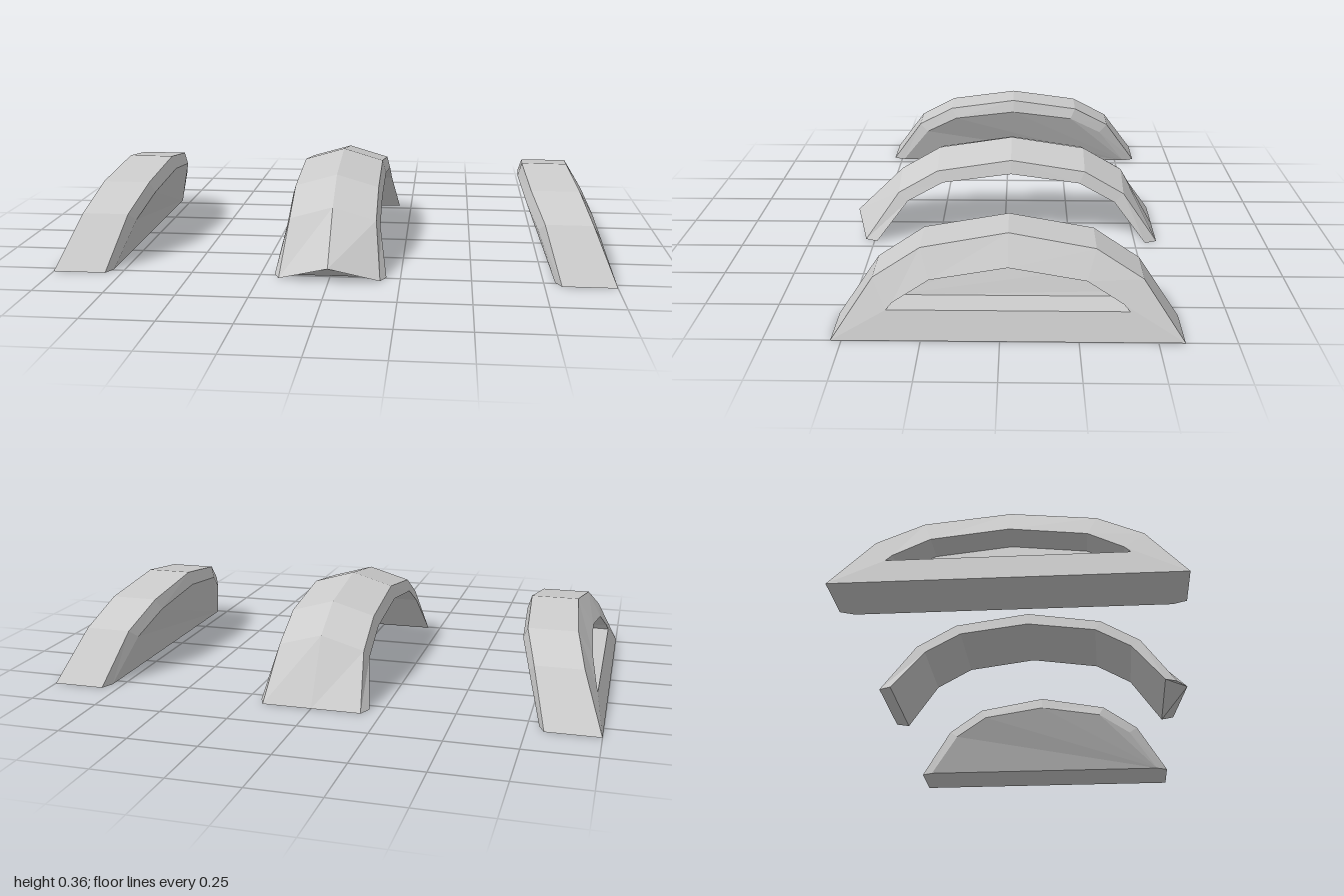
import * as THREE from 'three';

const MID_Z = -0.025;
const material = new THREE.MeshStandardMaterial({ color: 0xcccccc, flatShading: true });

// Half profiles of the arch, front foot to crown: [distance from middle, height]
const OUTER = [[0.56, 0], [0.43, 0.185], [0.28, 0.272], [0, 0.315]];
const INNER = [[0.515, 0], [0.395, 0.155], [0.26, 0.23], [0, 0.265]];
const SLOT = [[0.385, 0.093], [0.365, 0.115], [0.25, 0.183], [0, 0.22]];
const FLOOR = [[0.372, 0.098], [0.357, 0.113], [0.246, 0.178], [0, 0.214]];

// Full arch of 7 points, front to back, with an x value for each height step
function arch(half, xs) {
  const front = half.map(([d, y], i) => new THREE.Vector3(xs[i], y, MID_Z + d));
  const back = half.slice(0, 3).reverse().map(([d, y], i) => new THREE.Vector3(xs[2 - i], y, MID_Z - d));
  return [...front, ...back];
}

// Flat-shaded solid through closed rings of equal size, capped at both ends
function loft(rings, name) {
  const pos = [];
  const tri = (...pts) => pts.forEach((p) => pos.push(p.x, p.y, p.z));
  const n = rings[0].length;
  for (let i = 0; i < rings.length - 1; i++) {
    const a = rings[i], b = rings[i + 1];
    for (let j = 0; j < n; j++) {
      const k = (j + 1) % n;
      tri(a[j], a[k], b[k]);
      tri(a[j], b[k], b[j]);
    }
  }
  const first = rings[0], last = rings[rings.length - 1];
  for (let j = 1; j < n - 1; j++) {
    tri(first[0], first[j + 1], first[j]);
    tri(last[0], last[j], last[j + 1]);
  }
  const geometry = new THREE.BufferGeometry();
  geometry.setAttribute('position', new THREE.Float32BufferAttribute(pos, 3));
  geometry.computeVertexNormals();
  const mesh = new THREE.Mesh(geometry, material);
  mesh.name = name;
  return mesh;
}

// Leaning side block with a recessed slot in its outer face
function sideBlock(side, name) {
  const rings = [
    arch(FLOOR, [0.87, 0.863, 0.84, 0.825]),
    arch(SLOT, [0.97, 0.963, 0.94, 0.925]),
    arch(OUTER, [1, 0.925, 0.888, 0.865]),
    arch(OUTER, [0.81, 0.755, 0.713, 0.695]),
    arch(INNER, [0.79, 0.735, 0.696, 0.68]),
  ];
  if (side < 0) {
    rings.forEach((ring) => {
      ring.forEach((p) => { p.x *= -1; });
      ring.reverse();
    });
  }
  return loft(rings, name);
}

// Curved central strip with a ridge along its top
function centreArch() {
  const outer = arch(OUTER, [0.18, 0.157, 0.155, 0.152]);
  const inner = arch(INNER, [0.2, 0.17, 0.168, 0.166]);
  const flip = (p) => new THREE.Vector3(-p.x, p.y, p.z);
  const rings = outer.map((o, i) => {
    const ridge = new THREE.Vector3(0, o.y + 0.045, o.z);
    if (i === 0) ridge.set(0, 0.055, o.z + 0.05);
    if (i === outer.length - 1) ridge.y = 0;
    return [ridge, o, inner[i], flip(inner[i]), flip(o)];
  });
  return loft(rings, 'centreArch');
}

export function createModel() {
  const model = new THREE.Group();
  model.name = 'archSet';
  model.add(sideBlock(1, 'leftBlock'), sideBlock(-1, 'rightBlock'), centreArch());
  return model;
}
